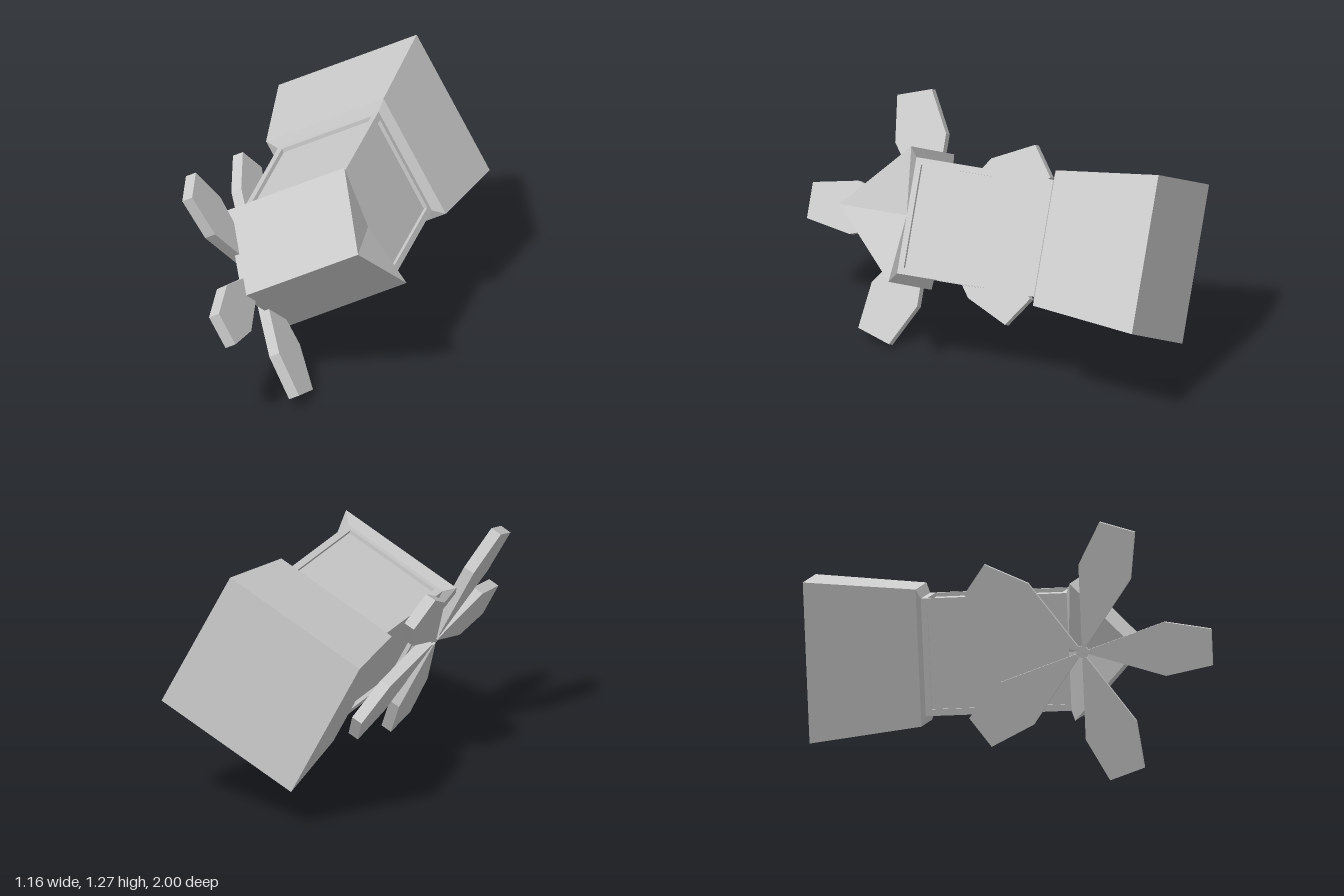
import * as THREE from 'three';

const BASE = 0.397, EAVE = 0.338, TOWER = 0.29, RECESS = 0.02;

export function createModel() {
  const model = new THREE.Group();
  const mat = new THREE.MeshStandardMaterial({ color: 0xcccccc, flatShading: true });

  // The mill lies on its back along z and leans over around that axis
  const mill = new THREE.Group();
  mill.name = 'windmill';
  mill.position.set(0.04, 0.735, 0);
  mill.rotation.z = THREE.MathUtils.degToRad(27.9);
  model.add(mill);

  const add = (name, geometry, parent = mill) => {
    const mesh = new THREE.Mesh(geometry, mat);
    mesh.name = name;
    parent.add(mesh);
    return mesh;
  };

  // Square tapered block between two z positions, given half widths
  const taper = (z0, h0, z1, h1) =>
    new THREE.CylinderGeometry(h1 * Math.SQRT2, h0 * Math.SQRT2, z1 - z0, 4, 1, false, Math.PI / 4)
      .rotateX(Math.PI / 2).translate(0, 0, (z0 + z1) / 2);

  // Flared base and its bevelled rim
  add('base', taper(-1, BASE, -0.45, EAVE));
  add('baseRim', taper(-0.45, EAVE, -0.43, TOWER));

  // Tower core with a raised frame on each of the four walls
  const core = TOWER - RECESS;
  add('towerCore', new THREE.BoxGeometry(core * 2, core * 2, 0.72).translate(0, 0, -0.07));
  const rect = (path, w, z0, z1) => path.moveTo(-w, z0).lineTo(w, z0).lineTo(w, z1).lineTo(-w, z1).closePath();
  const frame = rect(new THREE.Shape(), TOWER, -0.29, 0.43);
  frame.holes.push(rect(new THREE.Path(), 0.257, -0.26, 0.4));
  const frameGeo = new THREE.ExtrudeGeometry(frame, { depth: RECESS, bevelEnabled: false })
    .rotateX(-Math.PI / 2).translate(0, core, 0);
  for (let i = 0; i < 4; i++) add('wallFrame', frameGeo).rotation.z = i * Math.PI / 2;

  // Gabled roof: one quarter, mirrored; the gables fold in at the eave middle
  const ridge = [0.333, 0, 0.63], ridgeMid = [0, 0, 0.63];
  const corner = [EAVE, EAVE, 0.31], cornerMid = [0, EAVE, 0.31];
  const top = [TOWER, TOWER, 0.29], topMid = [0, TOWER, 0.29], gableMid = [TOWER, 0, 0.29];
  const quarter = [
    [ridgeMid, ridge, corner], [ridgeMid, corner, cornerMid],
    [cornerMid, corner, top], [cornerMid, top, topMid],
    [gableMid, corner, ridge], [gableMid, top, corner],
  ];
  const points = [];
  for (const sx of [1, -1]) for (const sy of [1, -1]) for (const [a, b, c] of quarter) {
    for (const [x, y, z] of sx * sy > 0 ? [a, b, c] : [a, c, b]) points.push(sx * x, sy * y, z);
  }
  const roofGeo = new THREE.BufferGeometry();
  roofGeo.setAttribute('position', new THREE.Float32BufferAttribute(points, 3));
  roofGeo.computeVertexNormals();
  add('roof', roofGeo);

  // Five flat sails around a short axle on the right gable
  const sails = new THREE.Group();
  sails.name = 'sails';
  sails.position.set(-0.31, 0, 0.36);
  mill.add(sails);
  const outline = [[0.03, 0.01], [0.41, 0.133], [0.64, 0.09]];
  const sailShape = new THREE.Shape([
    ...outline.map(([r, w]) => new THREE.Vector2(r, -w)),
    ...outline.map(([r, w]) => new THREE.Vector2(r, w)).reverse(),
  ]);
  const sailGeo = new THREE.ExtrudeGeometry(sailShape, { depth: 0.057, bevelEnabled: false })
    .rotateY(-Math.PI / 2);
  for (let i = 0; i < 5; i++) add('sail', sailGeo, sails).rotation.x = i * Math.PI * 2 / 5;
  add('axle', new THREE.CylinderGeometry(0.035, 0.035, 0.09, 5).rotateZ(Math.PI / 2), sails);

  return model;
}
